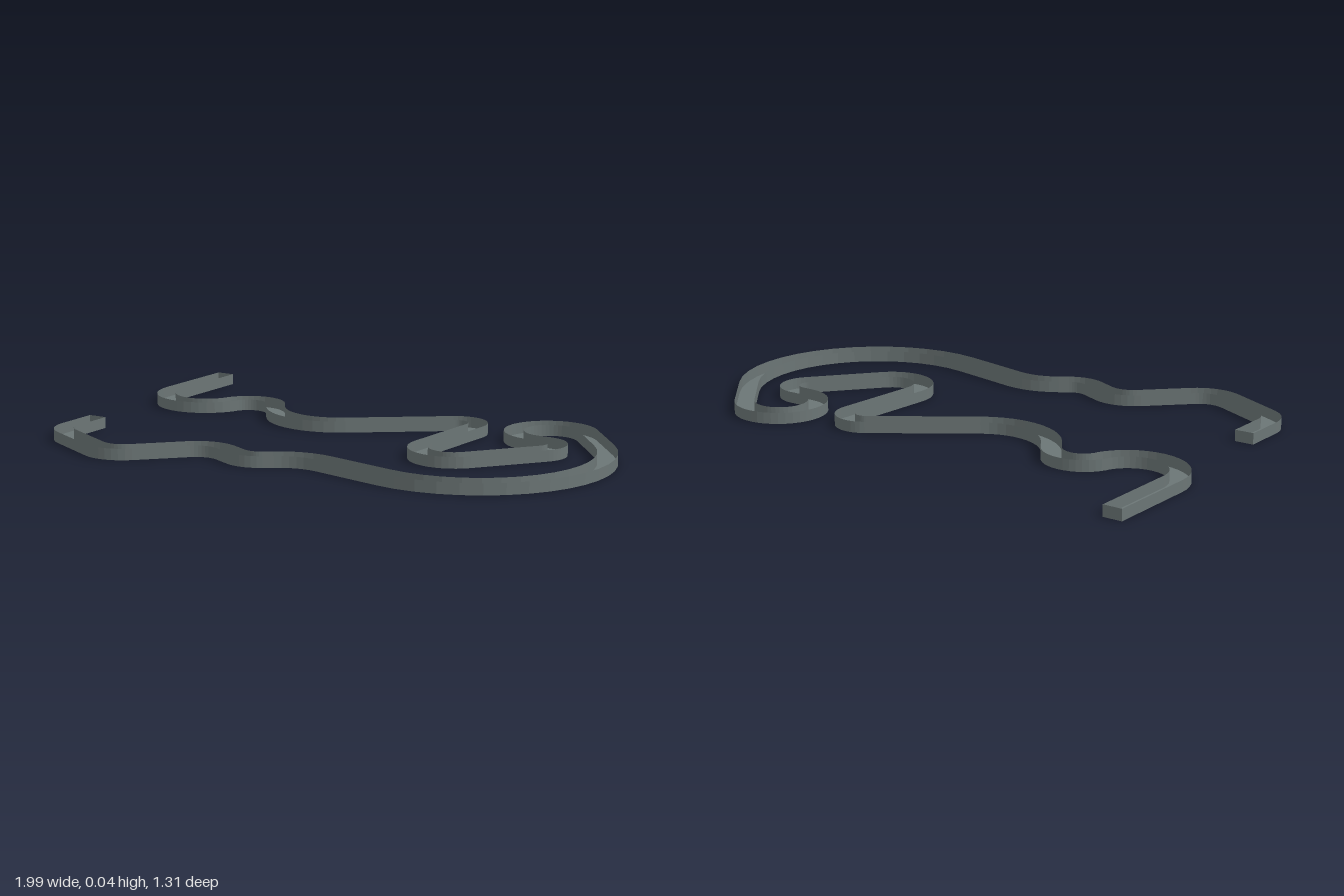
import * as THREE from 'three';

const HALF = 0.035, HEIGHT = 0.04, STEP = 0.16;

// Bends along the course: centre x, centre z, signed radius (+ bends left, - bends right)
const BENDS = [
  [-0.962, -0.66, 0],
  [-0.805, -0.315, 0.16],
  [-0.56, -0.217, -0.105],
  [-0.24, -0.358, 0.24],
  [0.265, -0.33, -0.075],
  [0.435, 0.015, 0.12],
  [0.652, -0.178, 0.075],
  [0.61, -0.383, -0.13],
  [0.51, 0.005, -0.45],
  [0.1, 0.6, 0.22],
  [-0.115, 0.36, -0.1],
  [-0.275, 0.527, 0.12],
  [-0.585, 0.495, -0.12],
  [-0.798, 0.41, -0.1],
  [-0.898, 0.25, 0],
];

// Centre-line stations: straights tangent to each pair of bends, arcs sampled between
function makeStations() {
  const tangents = [];
  for (let i = 0; i < BENDS.length - 1; i++) {
    const [x1, z1, k1] = BENDS[i], [x2, z2, k2] = BENDS[i + 1];
    const dx = x2 - x1, dz = z2 - z1;
    const ratio = THREE.MathUtils.clamp((k1 - k2) / Math.hypot(dx, dz), -1, 1);
    tangents.push(Math.atan2(dz, dx) + Math.acos(ratio));
  }
  const stations = [];
  BENDS.forEach(([x, z, k], i) => {
    const from = tangents[Math.max(i - 1, 0)];
    const to = tangents[Math.min(i, tangents.length - 1)];
    let sweep = 0, steps = 0;
    if (k !== 0) {
      const turn = 2 * Math.PI, sign = k < 0 ? 1 : -1;
      sweep = sign * ((((to - from) * sign) % turn + turn) % turn);
      steps = Math.max(2, Math.ceil(Math.abs(sweep) / STEP));
    }
    for (let s = 0; s <= steps; s++) {
      const a = from + (steps ? sweep * s / steps : 0);
      const nx = Math.cos(a), nz = Math.sin(a);
      stations.push({ x: x + k * nx, z: z + k * nz, nx, nz });
    }
  });
  return stations;
}

// Point on a station's cross-section
const at = (s, side, y) => [s.x + side * HALF * s.nx, y, s.z + side * HALF * s.nz];

function quadMesh(name, quads, material) {
  const positions = [];
  for (const [a, b, c, d] of quads) positions.push(...a, ...b, ...c, ...a, ...c, ...d);
  const geometry = new THREE.BufferGeometry();
  geometry.setAttribute('position', new THREE.Float32BufferAttribute(positions, 3));
  geometry.computeVertexNormals();
  const mesh = new THREE.Mesh(geometry, material);
  mesh.name = name;
  return mesh;
}

export function createModel() {
  const group = new THREE.Group();
  group.name = 'windingChannel';
  const slate = new THREE.MeshStandardMaterial({ color: 0x6b7575, side: THREE.DoubleSide });
  slate.name = 'slateGrey';

  const stations = makeStations();
  const strip = (s1, y1, s2, y2) => stations.slice(1).map((q, i) => {
    const p = stations[i];
    return [at(p, s1, y1), at(q, s1, y1), at(q, s2, y2), at(p, s2, y2)];
  });
  const cap = (s, dir) => [[at(s, dir, 0), at(s, -dir, 0), at(s, -dir, HEIGHT), at(s, dir, HEIGHT)]];

  // Floor faces down, walls face outward, the top stays open
  group.add(quadMesh('floor', strip(-1, 0, 1, 0), slate));
  group.add(quadMesh('rightWall', strip(1, 0, 1, HEIGHT).map((q) => q.reverse()), slate));
  group.add(quadMesh('leftWall', strip(-1, 0, -1, HEIGHT), slate));
  group.add(quadMesh('startCap', cap(stations[0], -1), slate));
  group.add(quadMesh('endCap', cap(stations[stations.length - 1], 1), slate));
  return group;
}
